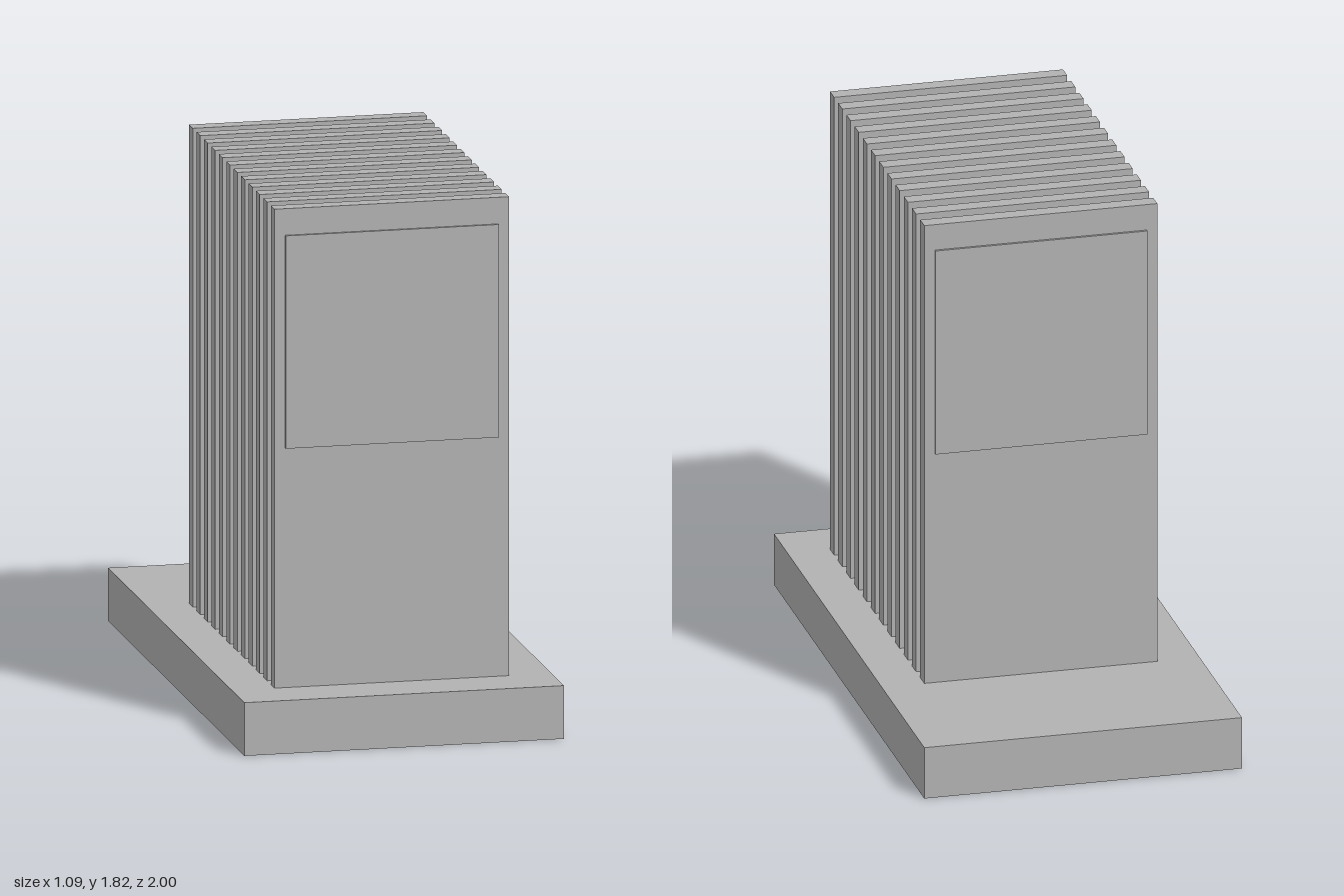
import * as THREE from 'three';

const U = 1 / 11; // design unit: the base is 22 units long
const COUNT = 12;
const PITCH = 1.2 * U;
const FIRST_Z = 8.7 * U;

export function createModel() {
  const model = new THREE.Group();
  model.name = 'slabRack';
  const grey = new THREE.MeshStandardMaterial({ color: 0xb2b2b2 });
  grey.name = 'grey';

  // Box given in design units, standing on height y
  const box = (name, w, h, d, y, parent) => {
    const mesh = new THREE.Mesh(new THREE.BoxGeometry(w * U, h * U, d * U), grey);
    mesh.name = name;
    mesh.position.y = (y + h / 2) * U;
    parent.add(mesh);
  };

  // Flat base plate
  box('base', 12, 2, 22, 0, model);

  // Row of upright slabs, each with a raised panel on both faces
  for (let i = 0; i < COUNT; i++) {
    const card = new THREE.Group();
    card.name = `card${i + 1}`;
    card.position.z = FIRST_Z - i * PITCH;
    box('slab', 8.8, 18, 0.6, 2, card);
    box('raisedPanel', 8, 8, 0.8, 11, card);
    model.add(card);
  }
  return model;
}
